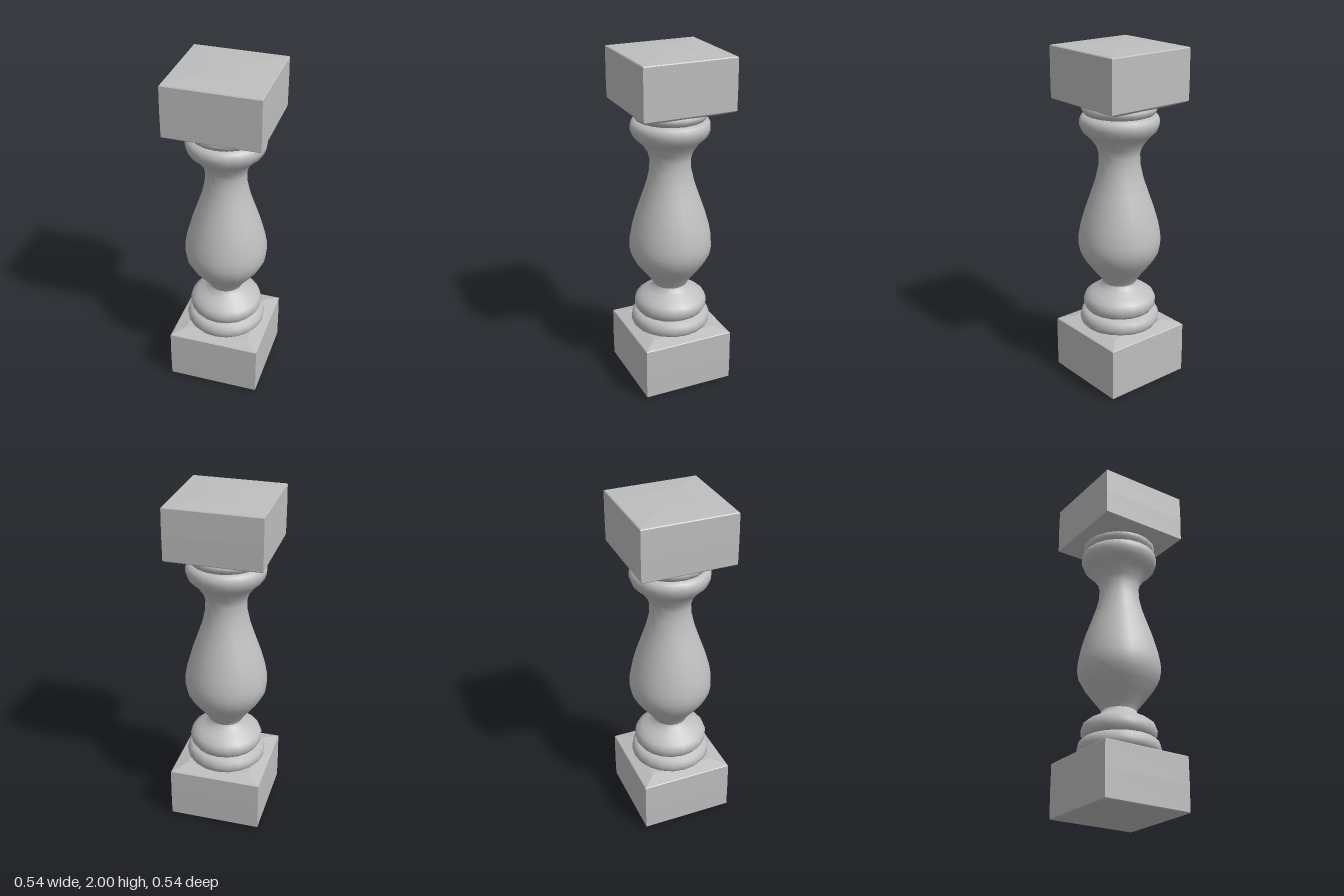
import * as THREE from 'three';

const stone = new THREE.MeshStandardMaterial({ color: 0xbebebe });
stone.name = 'grey stone';

// Smooth round part turned from [radius, height] points
function turned(name, profile) {
  const points = profile.map(([r, y]) => new THREE.Vector2(r, y));
  const mesh = new THREE.Mesh(new THREE.LatheGeometry(points, 20), stone);
  mesh.name = name;
  return mesh;
}

// Square block from [half width, height] points, with flat faces
function block(name, profile) {
  const points = profile.map(([h, y]) => new THREE.Vector2(h * Math.SQRT2, y));
  const geometry = new THREE.LatheGeometry(points, 4, Math.PI / 4).toNonIndexed();
  geometry.computeVertexNormals();
  const mesh = new THREE.Mesh(geometry, stone);
  mesh.name = name;
  return mesh;
}

export function createModel() {
  const model = new THREE.Group();
  model.name = 'baluster';

  // Square plinth, its top sloping up to the rings
  model.add(block('plinth', [
    [0, 0], [0.12, 0.002], [0.266, 0.012], [0.27, 0.017], [0.271, 0.17],
    [0.27, 0.322], [0.266, 0.326], [0.19, 0.348], [0, 0.348],
  ]));

  // Two stacked base rings, the upper one flowing into the waist
  model.add(turned('lowerRing', [
    [0.19, 0.335], [0.222, 0.345], [0.234, 0.362], [0.235, 0.385],
    [0.229, 0.41], [0.21, 0.428], [0.17, 0.436],
  ]));
  model.add(turned('upperRing', [
    [0.16, 0.43], [0.198, 0.437], [0.213, 0.46], [0.215, 0.49], [0.203, 0.52],
    [0.17, 0.545], [0.13, 0.567], [0.108, 0.585], [0.099, 0.602],
  ]));

  // Vase-shaped shaft, flaring into the collar
  model.add(turned('shaft', [
    [0.099, 0.602], [0.114, 0.632], [0.16, 0.69], [0.205, 0.75], [0.232, 0.80],
    [0.241, 0.85], [0.239, 0.90], [0.226, 0.97], [0.2, 1.06], [0.165, 1.16],
    [0.138, 1.24], [0.12, 1.32], [0.117, 1.385], [0.13, 1.43], [0.165, 1.48],
    [0.19, 1.505],
  ]));
  model.add(turned('collar', [
    [0.185, 1.5], [0.212, 1.525], [0.226, 1.56], [0.226, 1.585],
    [0.216, 1.608], [0.19, 1.62], [0.15, 1.622],
  ]));
  model.add(turned('neckRing', [
    [0.17, 1.612], [0.198, 1.622], [0.21, 1.64], [0.215, 1.66], [0.2, 1.675],
  ]));

  // Square cap, sloping underneath and faintly domed on top
  model.add(block('cap', [
    [0, 1.664], [0.195, 1.664], [0.266, 1.693], [0.27, 1.698], [0.271, 1.84],
    [0.27, 1.985], [0.266, 1.99], [0.12, 1.998], [0, 2],
  ]));

  return model;
}
